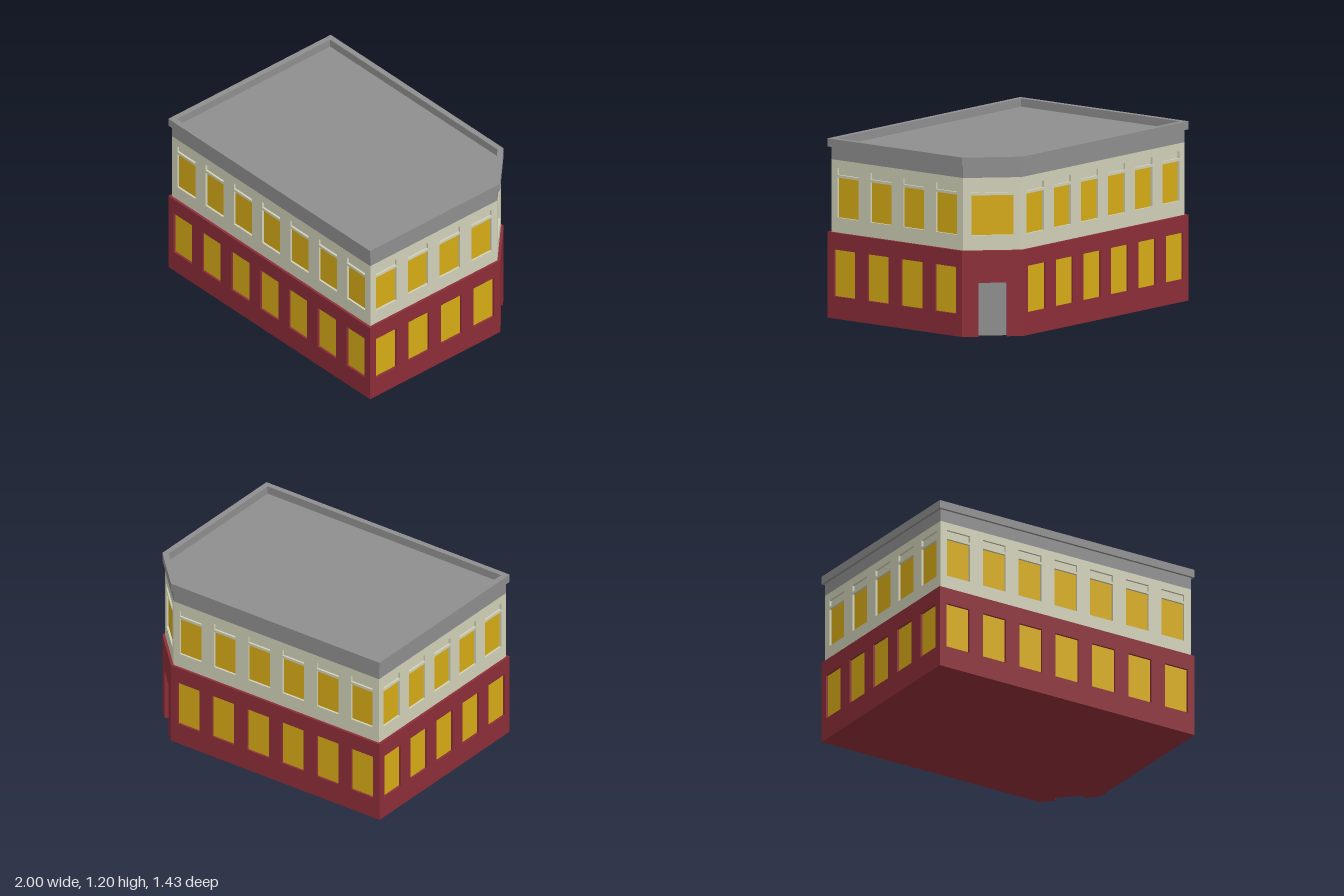
import * as THREE from 'three';

const mat = (color) => new THREE.MeshStandardMaterial({ color, flatShading: true });
const V = (x, y) => new THREE.Vector2(x, y);

// Plan corners (x, z) of the building inset by a; the back corner at +x is cut off.
// Each wall runs left to right as seen from outside.
function plan(a) {
  const w = 1 - a, d = 0.715 - a, k = a * (Math.SQRT2 - 1);
  return [V(-w, d), V(w, d), V(w, -0.43 + k), V(0.715 - k, -d), V(-w, -d)];
}

// Solid slab over the plan, with an optional inner opening
function slab(name, inset, y0, y1, material, holeInset) {
  const flip = (p) => V(p.x, -p.y);
  const shape = new THREE.Shape(plan(inset).map(flip));
  if (holeInset) shape.holes.push(new THREE.Path(plan(holeInset).map(flip)));
  const geo = new THREE.ExtrudeGeometry(shape, { depth: y1 - y0, bevelEnabled: false });
  geo.rotateX(-Math.PI / 2).translate(0, y0, 0);
  const mesh = new THREE.Mesh(geo, material);
  mesh.name = name;
  return mesh;
}

// Side faces of a recess, left open at the bottom when it reaches the ground
function reveal({ x, w, y0, y1, depth }) {
  const c = [[x + w / 2, y0], [x + w / 2, y1], [x - w / 2, y1], [x - w / 2, y0]];
  const pos = [];
  for (let i = 0; i < (y0 > 0 ? 4 : 3); i++) {
    const p = c[i], q = c[(i + 1) % 4];
    pos.push(...p, 0, ...q, 0, ...q, -depth, ...p, 0, ...q, -depth, ...p, -depth);
  }
  const geo = new THREE.BufferGeometry();
  geo.setAttribute('position', new THREE.Float32BufferAttribute(pos, 3));
  geo.computeVertexNormals();
  return geo;
}

// One wall from plan point p to q, pierced by recesses that are closed by panels
function wall(name, p, q, y0, y1, material, recesses) {
  const group = new THREE.Group();
  group.name = name;
  const len = p.distanceTo(q), h = len / 2;
  const add = (geo, m, part) => {
    const mesh = new THREE.Mesh(geo, m);
    mesh.name = part;
    group.add(mesh);
    return mesh;
  };
  const outline = [V(-h, y0)];
  const holes = [];
  for (const r of recesses) {
    const l = r.x - r.w / 2, e = r.x + r.w / 2;
    const rect = [V(l, r.y0), V(l, r.y1), V(e, r.y1), V(e, r.y0)];
    if (r.y0 > 0) holes.push(new THREE.Path(rect));
    else outline.push(...rect);
    add(reveal(r), material, r.name + 'Reveal');
    add(new THREE.PlaneGeometry(r.w, r.y1 - r.y0), r.material, r.name)
      .position.set(r.x, (r.y0 + r.y1) / 2, -r.depth);
  }
  outline.push(V(h, y0), V(h, y1), V(-h, y1));
  const shape = new THREE.Shape(outline);
  shape.holes.push(...holes);
  add(new THREE.ShapeGeometry(shape), material, 'wallFace');
  group.position.set((p.x + q.x) / 2, 0, (p.y + q.y) / 2);
  group.rotation.y = Math.atan2(p.y - q.y, q.x - p.x);
  return group;
}

export function createModel() {
  const model = new THREE.Group();
  const red = mat(0x8c2d38), cream = mat(0xd0d0b8), gold = mat(0xd6ab16), grey = mat(0x8e8e8e);
  const ledgeY = 0.575, friezeY = 1.06, corniceY = 1.145, topY = 1.2, inset = 0.018;
  const doorW = 0.19, doorDepth = 0.042;

  const lower = plan(0), upper = plan(inset);
  const sides = ['front', 'leftSide', 'corner', 'back', 'rightSide'];
  const counts = [7, 4, 1, 6, 5];

  sides.forEach((side, i) => {
    const j = (i + 1) % 5, n = counts[i], isCorner = side === 'corner';
    const low = [], up = [];
    for (let k = 0; k < n; k++) {
      const t = (k + 0.5) / n - 0.5;
      const xl = t * lower[i].distanceTo(lower[j]);
      const xu = t * upper[i].distanceTo(upper[j]);
      const w = isCorner ? 0.28 : 0.178;
      low.push(isCorner
        ? { name: 'door', x: xl, w: doorW, y0: 0, y1: 0.36, depth: doorDepth, material: grey }
        : { name: 'lowerWindow', x: xl, w: 0.18, y0: 0.15, y1: 0.463, depth: 0.015, material: gold });
      up.push(
        { name: 'upperWindow', x: xu, w, y0: 0.675, y1: 0.942, depth: 0.015, material: gold },
        { name: 'panelAboveWindow', x: xu, w, y0: 0.96, y1: 1.006, depth: 0.015, material: cream });
    }
    model.add(wall(side + 'LowerWall', lower[i], lower[j], 0, ledgeY, red, low));
    model.add(wall(side + 'UpperWall', upper[i], upper[j], ledgeY, friezeY, cream, up));
  });

  // Underside, notched at the doorway
  const [a, b] = [lower[2], lower[3]];
  const mid = a.clone().add(b).multiplyScalar(0.5);
  const along = b.clone().sub(a).normalize();
  const inward = V(along.x, -along.y);
  const at = (s, d) => mid.clone().addScaledVector(along, s).addScaledVector(inward, d);
  const notch = [at(-doorW / 2, 0), at(-doorW / 2, doorDepth), at(doorW / 2, doorDepth), at(doorW / 2, 0)];
  const floorShape = new THREE.Shape([...lower.slice(0, 3), ...notch, ...lower.slice(3)]);
  const floor = new THREE.Mesh(new THREE.ShapeGeometry(floorShape).rotateX(Math.PI / 2), red);
  floor.name = 'floor';
  model.add(floor);

  // Ledge between the storeys
  const ledgeShape = new THREE.Shape(lower.map((p) => V(p.x, -p.y)));
  const ledge = new THREE.Mesh(new THREE.ShapeGeometry(ledgeShape).rotateX(-Math.PI / 2), red);
  ledge.position.y = ledgeY;
  ledge.name = 'ledge';
  model.add(ledge);

  // Frieze with the flat roof on top, and the cornice that forms the parapet
  model.add(slab('friezeAndRoof', inset, friezeY, corniceY, grey));
  model.add(slab('cornice', 0, corniceY, topY, grey, 0.04));
  return model;
}
